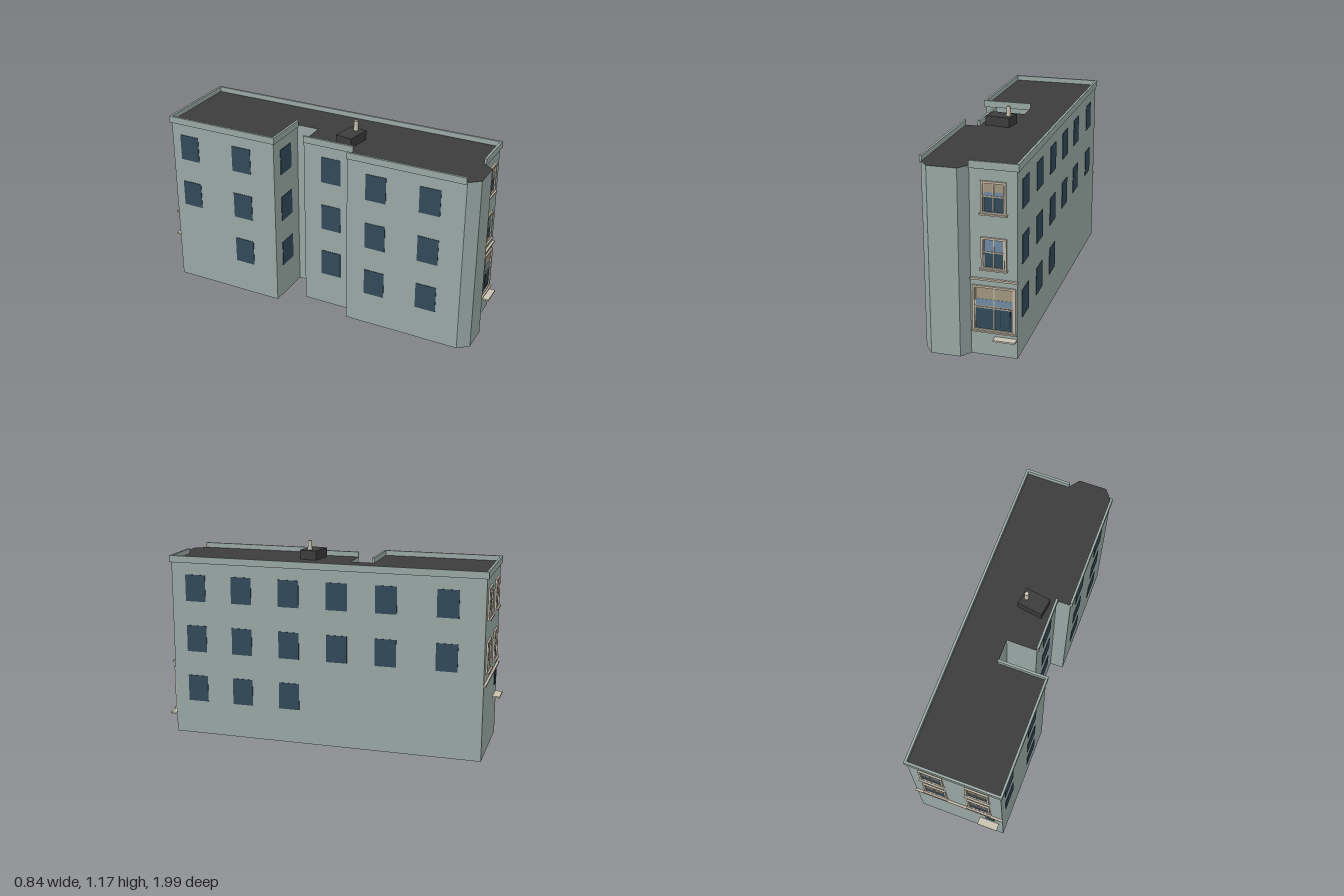
import * as THREE from 'three';

const mat = (name, color) => {
  const m = new THREE.MeshStandardMaterial({ color });
  m.name = name;
  return m;
};

export function createModel() {
  const wall = mat('wall grey green', 0x9aa9a5);
  const roof = mat('roof charcoal', 0x3c3c3c);
  const glass = mat('dark glass', 0x324959);
  const sky = mat('pale glass', 0x7189a3);
  const blind = mat('tan blind', 0xa2977f);
  const trim = mat('stone trim', 0xc4b9a8);
  const pot = mat('chimney pot cream', 0xc9c3b2);
  const darkTrim = mat('dark vent frame', 0x22313c);

  const model = new THREE.Group();
  const building = new THREE.Group();
  building.name = 'building';
  building.rotation.y = 0.1545;
  model.add(building);

  const box = (parent, name, material, w, h, d, x, y, z) => {
    const m = new THREE.Mesh(new THREE.BoxGeometry(w, h, d), material);
    m.name = name;
    m.position.set(x, y, z);
    parent.add(m);
    return m;
  };

  // Main block: footprint with light well notch and a canted front bay
  const R = 0.272, L1 = -0.244, L2 = -0.265, F = 0.913, B = -0.955, H = 1.06;
  const foot = [
    [R, B], [R, F], [0.015, F], [-0.029, 0.972], [-0.193, 0.974], [L1, 0.91],
    [L1, 0.204], [-0.16, 0.204], [-0.16, -0.115], [0.019, -0.115],
    [0.019, -0.256], [L2, -0.256], [L2, B],
  ];
  const shape = new THREE.Shape(foot.map(([u, v]) => new THREE.Vector2(u, -v)));
  const block = new THREE.Mesh(
    new THREE.ExtrudeGeometry(shape, { depth: H, bevelEnabled: false }), [roof, wall]);
  block.name = 'mainBlock';
  block.rotation.x = -Math.PI / 2;
  building.add(block);

  // Parapets: [u0, u1, v0, v1] in plan, standing above the roof edge
  const o = 0.01, i = 0.004;
  [
    [R - i, R + o, B - o, F + o],
    [L2 - o, R + o, B - o, B + i],
    [0.015, R + o, F - i, F + o],
    [L1 - o, L1 + i, 0.204, 0.91],
    [-0.16 - o, -0.16 + i, -0.115, 0.204],
    [L2 - o, 0.019, -0.256 - i, -0.256 + o],
    [L2 - o, L2 + i, B - o, -0.256 + o],
  ].forEach(([u0, u1, v0, v1]) => box(building, 'parapet', wall,
    u1 - u0, 0.04, v1 - v0, (u0 + u1) / 2, 1.07, (v0 + v1) / 2));

  // A facade is a group whose local +z points out of the wall
  const facade = (name, u, v, rot) => {
    const g = new THREE.Group();
    g.name = name;
    g.position.set(u, 0, v);
    g.rotation.y = rot;
    building.add(g);
    return g;
  };

  // Plain side windows as thin plates
  const levels = [0.285, 0.593, 0.9];
  const plain = (g, x, from = 0, w = 0.125) => {
    for (let k = from; k < 3; k++) {
      box(g, 'plainWindow', glass, w, 0.16, 0.004, x, levels[k], 0.001);
    }
  };
  const right = facade('longWall', R, 0, Math.PI / 2);
  [0.764, 0.477, 0.186, -0.104, -0.393, -0.745].forEach((v, k) => plain(right, -v, k < 3 ? 0 : 1));
  const left = facade('frontWingWall', L1, 0, -Math.PI / 2);
  [0.382, 0.706].forEach((v) => plain(left, v));
  const rear = facade('rearWingWall', L2, 0, -Math.PI / 2);
  plain(rear, -0.477);
  plain(rear, -0.836, 1);
  plain(facade('wellSideWall', -0.16, 0, -Math.PI / 2), 0.06);
  plain(facade('wellFrontWall', 0, -0.256, 0), -0.127);

  // Framed sash window; tan is the share of the upper sash covered by a blind
  const sash = (g, x, y0, y1, w, split, tan) => {
    const win = new THREE.Group();
    win.name = 'sashWindow';
    win.position.x = x;
    g.add(win);
    const b = 0.011, h = y1 - y0, ym = y0 + h * split;
    const iw = w - 2 * b, top = y1 - b, bot = y0 + b;
    const pane = (name, m, a, c) => {
      if (c - a > 0.001) box(win, name, m, iw, c - a, 0.004, 0, (a + c) / 2, 0.001);
    };
    const yb = top - (top - ym) * tan;
    pane('lowerPane', glass, bot, ym);
    pane('upperPane', sky, ym, yb);
    pane('blind', blind, yb, top);
    for (const s of [-1, 1]) {
      box(win, 'frameSide', trim, b, h, 0.012, s * (w - b) / 2, (y0 + y1) / 2, 0.004);
      box(win, 'sashSide', trim, 0.004, h - 2 * b, 0.008, s * (iw / 2 - 0.005), (y0 + y1) / 2, 0.002);
    }
    box(win, 'frameTop', trim, w, b, 0.012, 0, y1 - b / 2, 0.004);
    box(win, 'frameBottom', trim, w, b, 0.012, 0, y0 + b / 2, 0.004);
    box(win, 'meetingRail', trim, iw, 0.006, 0.009, 0, ym, 0.003);
    box(win, 'mullion', trim, 0.005, h - 2 * b, 0.009, 0, (y0 + y1) / 2, 0.003);
    box(win, 'sill', trim, w + 0.012, 0.008, 0.024, 0, y0 - 0.001, 0.008);
  };

  // Small vent pane with a ledge below it
  const ventAndLedge = (g, xVent, xLedge, y) => {
    box(g, 'ventFrame', darkTrim, 0.056, 0.11, 0.006, xVent, y + 0.12, 0.002);
    box(g, 'ventPane', glass, 0.05, 0.104, 0.008, xVent, y + 0.12, 0.002);
    box(g, 'ledge', pot, 0.122, 0.009, 0.044, xLedge, y, 0.022);
  };

  // Street front
  const front = facade('streetFront', 0, F, 0);
  sash(front, 0.145, 0.81, 0.987, 0.138, 0.54, 0.68);
  sash(front, 0.145, 0.503, 0.68, 0.138, 0.54, 0);
  sash(front, 0.145, 0.145, 0.406, 0.238, 0.52, 0.95);
  box(front, 'paleStrip', sky, 0.214, 0.037, 0.006, 0.145, 0.311, 0.001);
  box(front, 'stringCourse', trim, 0.264, 0.01, 0.016, 0.145, 0.444, 0.006);
  ventAndLedge(front, 0.205, 0.208, 0.11);

  // Back front
  const back = facade('backFront', 0, B, Math.PI);
  sash(back, -0.143, 0.81, 0.987, 0.138, 0.54, 0);
  sash(back, 0.125, 0.81, 0.987, 0.138, 0.54, 0.95);
  sash(back, -0.143, 0.503, 0.68, 0.138, 0.54, 0.95);
  sash(back, 0.125, 0.503, 0.68, 0.138, 0.54, 0.75);
  box(back, 'stringCourse', trim, 0.545, 0.01, 0.016, -0.0035, 0.444, 0.006);
  ventAndLedge(back, 0.187, 0.18, 0.265);

  // Chimney stack and pot, square to the model axes
  box(model, 'chimneyStack', roof, 0.15, 0.057, 0.104, -0.029, 1.0865, 0.14);
  const pipe = new THREE.Mesh(new THREE.CylinderGeometry(0.012, 0.014, 0.056, 12), pot);
  pipe.name = 'chimneyPot';
  pipe.position.set(0.018, 1.143, 0.14);
  model.add(pipe);

  return model;
}
